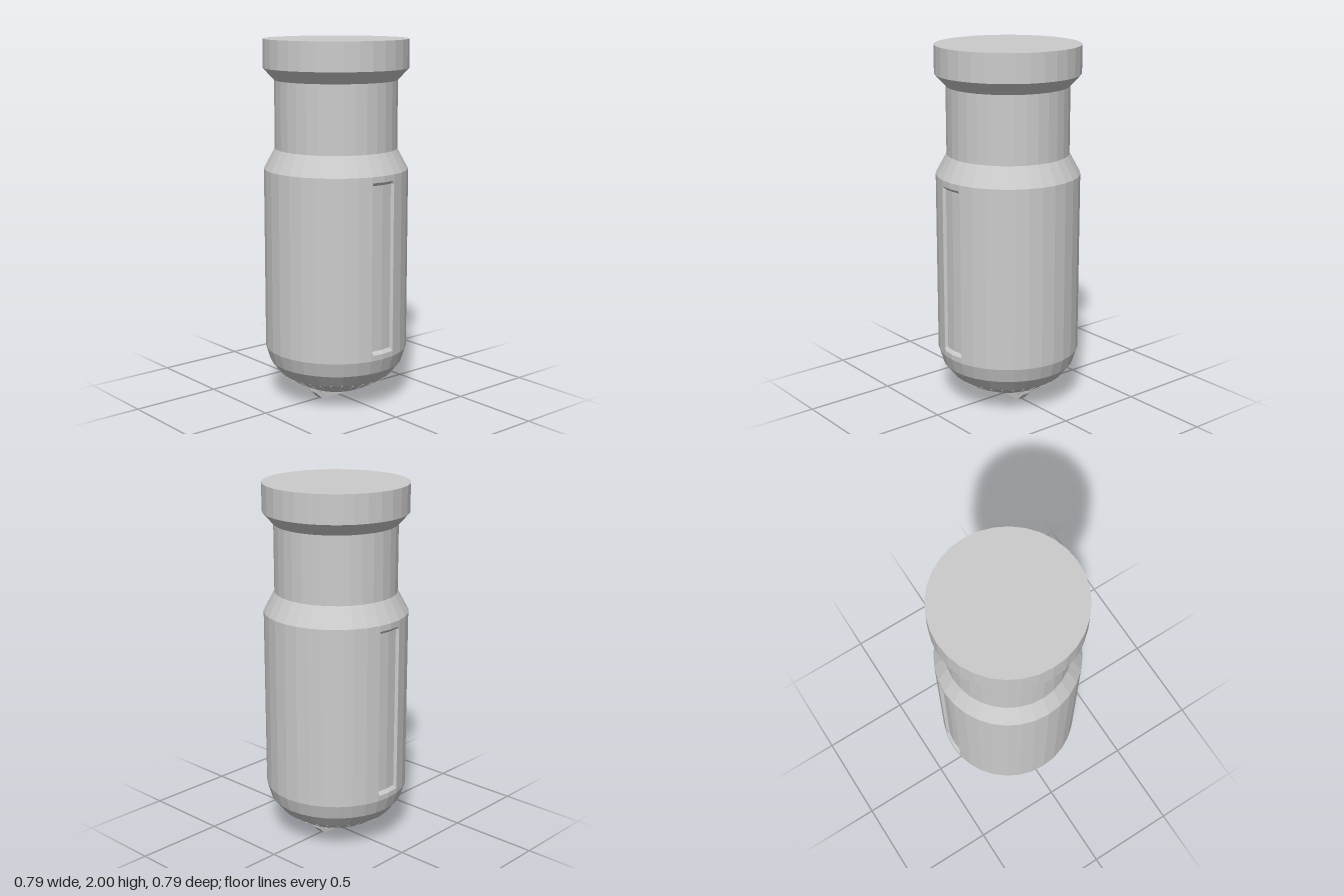
import * as THREE from 'three';

const material = new THREE.MeshStandardMaterial({ color: 0xcccccc, flatShading: true });
const SIDES = 32;
const STEP = (Math.PI * 2) / SIDES;

// Unit-circle columns of a 32-sided body, with extra columns for the front and back panels
function makeColumns() {
  const columns = [];
  for (let i = 0; i < SIDES; i++) {
    const a = new THREE.Vector2(Math.sin(i * STEP), Math.cos(i * STEP));
    const b = new THREE.Vector2(Math.sin((i + 1) * STEP), Math.cos((i + 1) * STEP));
    const k = i % (SIDES / 2);
    columns.push({ p: a, sunk: k === 0 });
    // Added columns lie on the flat side between two corners
    const cuts = k === 0 ? [0.85, 0.97] : k === SIDES / 2 - 1 ? [0.03, 0.15] : [];
    for (const t of cuts) columns.push({ p: a.clone().lerp(b, t), sunk: t > 0.1 && t < 0.9 });
  }
  return columns;
}

// Faceted body with two shallow recessed panels
function bodyGeometry() {
  const profile = [
    [0, 0.062], [0.16, 0.062], [0.24, 0.1], [0.315, 0.15], [0.37, 0.22], [0.395, 0.3],
    [0.395, 0.33], [0.395, 0.348], [0.395, 1.25], [0.395, 1.267],
    [0.395, 1.3], [0.335, 1.41], [0.335, 1.78], [0.395, 1.845], [0.395, 2], [0, 2],
  ];
  const columns = makeColumns();
  const points = profile.map(([r, y]) => new THREE.Vector2(r, y));
  const geometry = new THREE.LatheGeometry(points, columns.length);
  const pos = geometry.attributes.position;
  for (let i = 0; i <= columns.length; i++) {
    const { p, sunk } = columns[i % columns.length];
    profile.forEach(([r, y], j) => {
      const depth = sunk && (j === 7 || j === 8) ? 0.016 : 0;
      pos.setXYZ(i * profile.length + j, p.x * r, y, p.y * r - Math.sign(p.y) * depth);
    });
  }
  geometry.computeVertexNormals();
  return geometry;
}

// Bent strap below the base
function handleGeometry() {
  const half = [[0.165, 0.07], [0.165, 0.045], [0.12, 0.002]];
  const inner = [[0.107, 0.02], [0.142, 0.053], [0.142, 0.07]];
  const right = [...half, ...half.map(([x, y]) => [-x, y]).reverse()];
  const back = [...inner.map(([x, y]) => [-x, y]), ...inner.slice().reverse()];
  const shape = new THREE.Shape([...right, ...back].map(([x, y]) => new THREE.Vector2(x, y)));
  const geometry = new THREE.ExtrudeGeometry(shape, { depth: 0.05, bevelEnabled: false });
  return geometry.translate(0, 0, -0.025);
}

export function createModel() {
  const model = new THREE.Group();
  const add = (name, geometry, parent = model) => {
    const mesh = new THREE.Mesh(geometry, material);
    mesh.name = name;
    parent.add(mesh);
    return mesh;
  };

  add('body', bodyGeometry());
  add('baseHandle', handleGeometry()).position.y = -0.002;

  // Fine radial ribs around the rounded base
  const ribs = new THREE.Group();
  ribs.name = 'baseRibs';
  model.add(ribs);
  const ribGeometry = new THREE.BoxGeometry(0.008, 0.008, 0.075);
  ribGeometry.rotateX(-Math.atan2(0.05, 0.075)).translate(0, 0.125, 0.275);
  for (let i = 0; i < SIDES; i++) {
    add('baseRib', ribGeometry, ribs).rotation.y = i * STEP;
  }
  return model;
}
